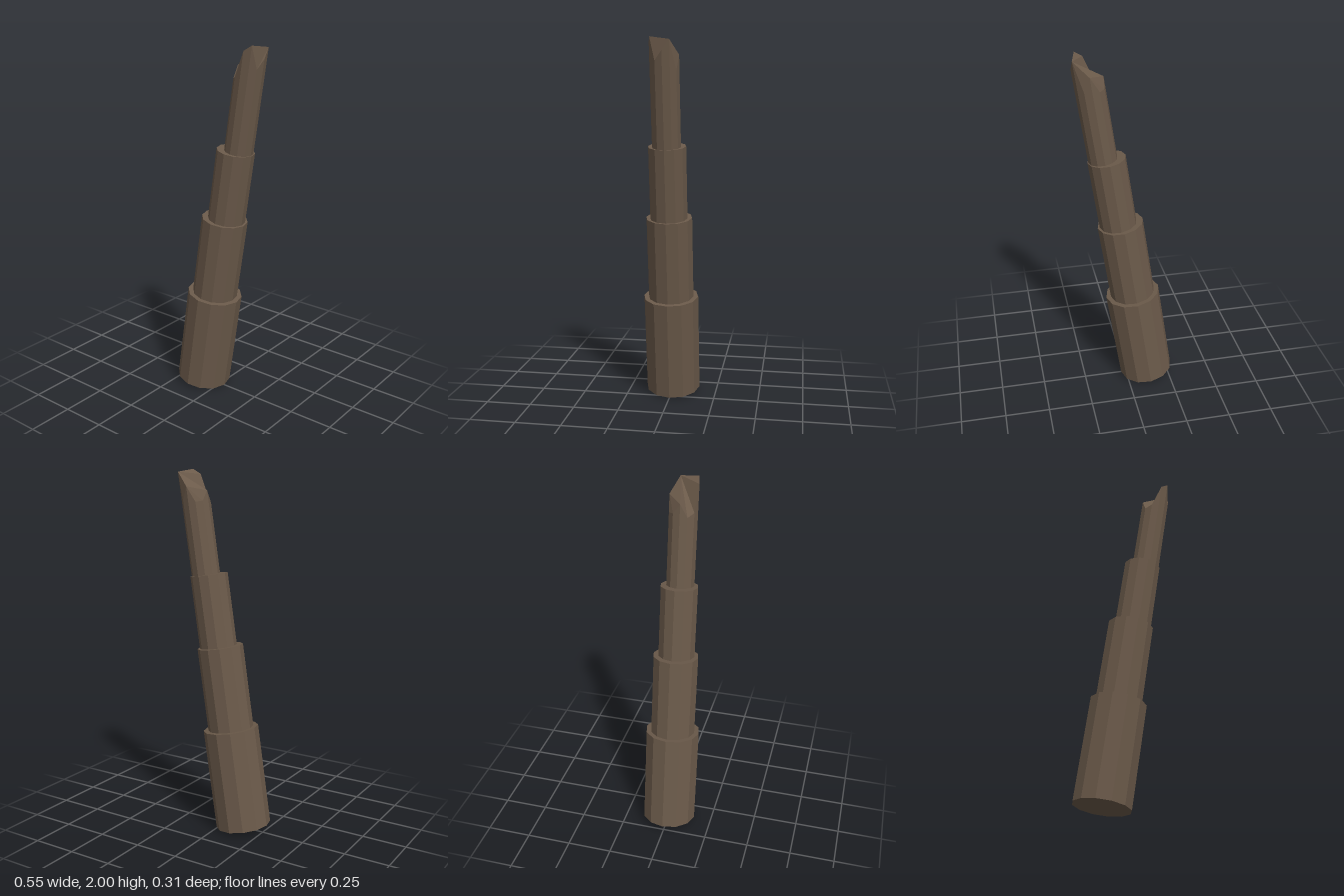
import * as THREE from 'three';

const SIDES = 12;
const material = new THREE.MeshStandardMaterial({
  color: 0x6b5a4a, flatShading: true, side: THREE.DoubleSide,
});

// One straight section of the stepped shaft
function section(name, radius, from, to, offset) {
  const geometry = new THREE.CylinderGeometry(radius, radius, to - from, SIDES);
  const mesh = new THREE.Mesh(geometry, material);
  mesh.position.set(offset, (from + to) / 2, 0);
  mesh.name = name;
  return mesh;
}

// Last section, with a jagged broken end: one rim height per side
function brokenTip(radius, from, offset) {
  const rim = [1.943, 1.891, 2.008, 1.974, 1.832, 1.81, 1.877, 1.825, 1.824, 1.911, 1.836, 1.997];
  const positions = [];
  const index = [];
  for (const heights of [rim.map(() => from), rim]) {
    heights.forEach((y, i) => {
      const a = (i / SIDES) * Math.PI * 2;
      positions.push(radius * Math.cos(a), y, radius * Math.sin(a));
    });
  }
  // Walls
  for (let i = 0; i < SIDES; i++) {
    const j = (i + 1) % SIDES;
    index.push(i, SIDES + i, j, j, SIDES + i, SIDES + j);
  }
  // Fracture facets, by rim point
  const facets = [
    [1, 0, 11], [2, 1, 11], [11, 10, 9], [3, 2, 11], [4, 3, 11],
    [5, 4, 11], [6, 5, 11], [9, 8, 7], [9, 7, 6], [11, 9, 6],
  ];
  for (const f of facets) index.push(...f.map((k) => SIDES + k));
  // Flat underside
  for (let i = 1; i < SIDES - 1; i++) index.push(0, i, i + 1);

  let geometry = new THREE.BufferGeometry();
  geometry.setAttribute('position', new THREE.Float32BufferAttribute(positions, 3));
  geometry.setIndex(index);
  geometry = geometry.toNonIndexed();
  geometry.computeVertexNormals();
  const mesh = new THREE.Mesh(geometry, material);
  mesh.position.x = offset;
  mesh.name = 'brokenTip';
  return mesh;
}

export function createModel() {
  const model = new THREE.Group();
  model.name = 'leaningSteppedShaft';

  // The whole shaft leans to +x about its foot
  const shaft = new THREE.Group();
  shaft.name = 'shaft';
  shaft.add(
    section('baseSection', 0.154, 0, 0.565, 0),
    section('lowerSection', 0.127, 0.565, 1.03, 0),
    section('upperSection', 0.103, 1.03, 1.43, 0.012),
    brokenTip(0.078, 1.43, 0.032),
  );
  shaft.rotation.z = -0.1506;
  shaft.position.set(-0.123, 0.023, 0);
  model.add(shaft);
  return model;
}
